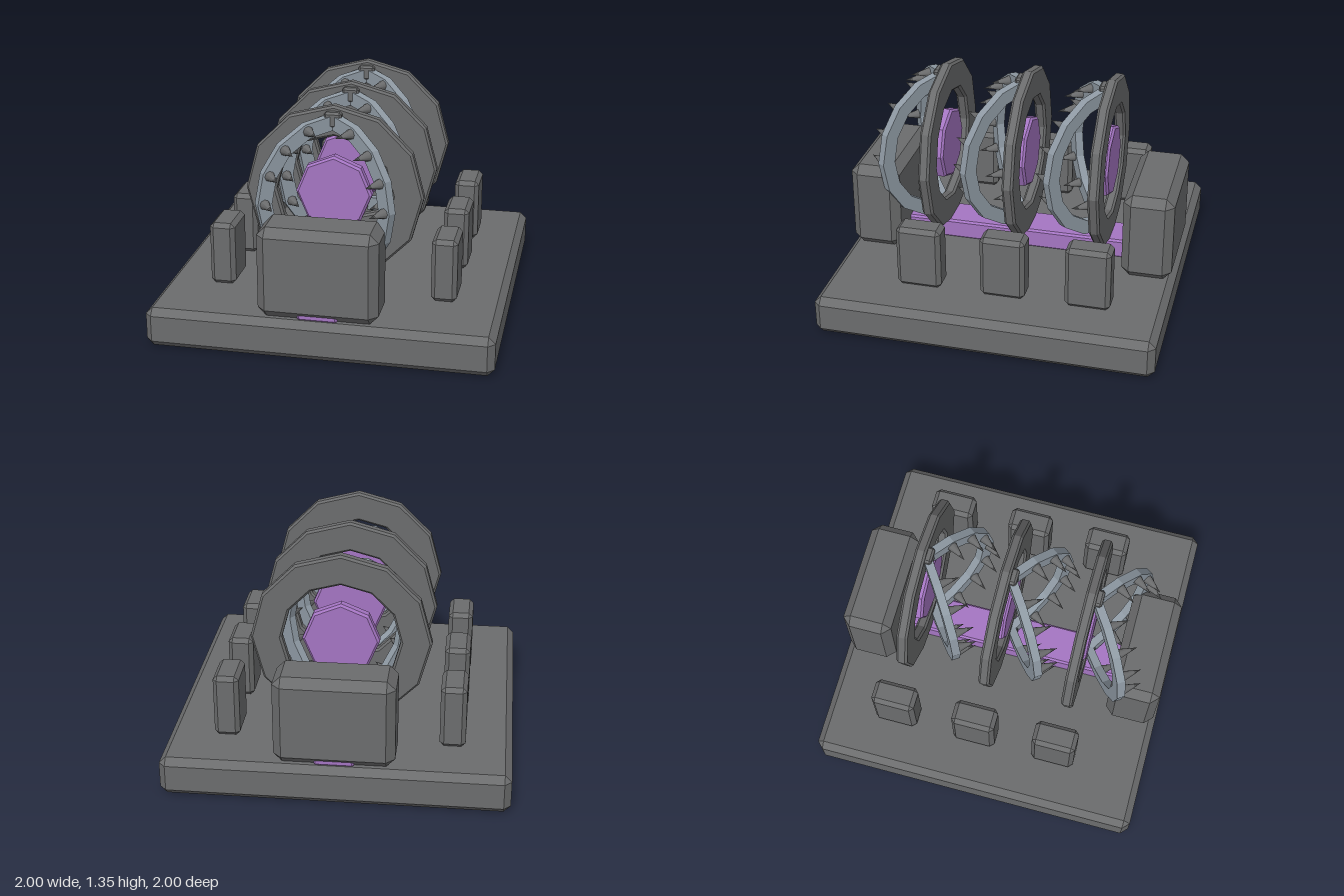
import * as THREE from 'three';
import { ConvexGeometry } from 'three/addons/geometries/ConvexGeometry.js';

const mat = (name, color) => {
  const m = new THREE.MeshStandardMaterial({ color });
  m.name = name;
  return m;
};

// Box with chamfered edges, c = chamfer width
function chamferBox(w, h, d, c) {
  const pts = [];
  for (const x of [-1, 1]) for (const y of [-1, 1]) for (const z of [-1, 1]) {
    for (let k = 0; k < 3; k++) {
      pts.push(new THREE.Vector3(
        x * (w / 2 - (k === 0 ? 0 : c)),
        y * (h / 2 - (k === 1 ? 0 : c)),
        z * (d / 2 - (k === 2 ? 0 : c))));
    }
  }
  return new ConvexGeometry(pts);
}

// Faceted turned shape facing z, with a corner at the top
function faceted(profile, sides) {
  const lathe = new THREE.LatheGeometry(profile.map(p => new THREE.Vector2(...p)), sides);
  lathe.rotateX(-Math.PI / 2);
  const flat = lathe.toNonIndexed();
  flat.computeVertexNormals();
  return flat;
}

// Half ring in the xy plane, bulging to +x
function halfRing(outer, inner, depth, segments) {
  const pts = [];
  const angle = i => -Math.PI / 2 + Math.PI * i / segments;
  const at = (r, a) => new THREE.Vector2(r * Math.cos(a), r * Math.sin(a));
  for (let i = 0; i <= segments; i++) pts.push(at(outer, angle(i)));
  for (let i = segments; i >= 0; i--) pts.push(at(inner, angle(i)));
  const geo = new THREE.ExtrudeGeometry(new THREE.Shape(pts), { depth, bevelEnabled: false });
  return geo.translate(0, 0, -depth / 2);
}

export function createModel() {
  const stone = mat('dark stone', 0x6b6c6d);
  const steel = mat('pale steel', 0x8f9aa4);
  const violet = mat('violet glow', 0xa475c2);
  const root = new THREE.Group();
  root.name = 'trapGate';

  const add = (parent, name, geo, material, x = 0, y = 0, z = 0) => {
    const mesh = new THREE.Mesh(geo, material);
    mesh.name = name;
    mesh.position.set(x, y, z);
    parent.add(mesh);
    return mesh;
  };

  // Base, central rail and end blocks
  add(root, 'base', chamferBox(2, 0.235, 2, 0.04), stone, 0, 0.1175, 0);
  add(root, 'rail', chamferBox(0.23, 0.12, 1.92, 0.012), violet, 0, 0.29, 0);
  for (const s of [-1, 1]) {
    add(root, 'endBlock', chamferBox(0.69, 0.535, 0.3, 0.05), stone, 0, 0.5025, s * 0.832);
  }

  const ringGeo = faceted([[0.52, -0.02], [0.52, 0.02], [0.507, 0.033], [0.353, 0.033],
    [0.34, 0.02], [0.34, -0.02], [0.353, -0.033], [0.507, -0.033], [0.52, -0.02]], 12);
  const discGeo = faceted([[0, -0.035], [0.208, -0.035], [0.222, -0.022], [0.222, 0.022],
    [0.208, 0.035], [0, 0.035]], 8);
  const jawGeo = halfRing(0.472, 0.387, 0.05, 8);
  const spikeGeo = new THREE.ConeGeometry(0.037, 0.14, 8).translate(0, 0.07, 0);
  const pillarGeo = chamferBox(0.15, 0.38, 0.265, 0.025);
  const hingeGeo = chamferBox(0.1, 0.09, 0.05, 0.012);
  const open = THREE.MathUtils.degToRad(35);

  for (const z of [0.46, -0.04, -0.54]) {
    // Side pillars
    for (const s of [-1, 1]) add(root, 'pillar', pillarGeo, stone, s * 0.655, 0.425, z - 0.02);

    // Ring with floating core
    const gate = new THREE.Group();
    gate.name = 'gate';
    gate.position.set(0, 0.83, z);
    root.add(gate);
    add(gate, 'ring', ringGeo, stone);
    add(gate, 'core', discGeo, violet, 0, 0, 0.006);

    // Two hinged jaws with spikes
    for (const s of [-1, 1]) {
      add(gate, 'hinge', hingeGeo, stone, 0, s * 0.445, 0.045);
      const jaw = new THREE.Group();
      jaw.name = s > 0 ? 'leftJaw' : 'rightJaw';
      jaw.position.z = 0.03;
      jaw.rotation.y = s > 0 ? -open : Math.PI + open;
      gate.add(jaw);
      add(jaw, 'jawBand', jawGeo, steel);
      for (let i = -3; i <= 3; i++) {
        const a = i * Math.PI / 8;
        const spike = add(jaw, 'spike', spikeGeo, stone, 0.43 * Math.cos(a), 0.43 * Math.sin(a), 0);
        spike.rotation.x = s * Math.PI / 2;
      }
    }
  }
  return root;
}
